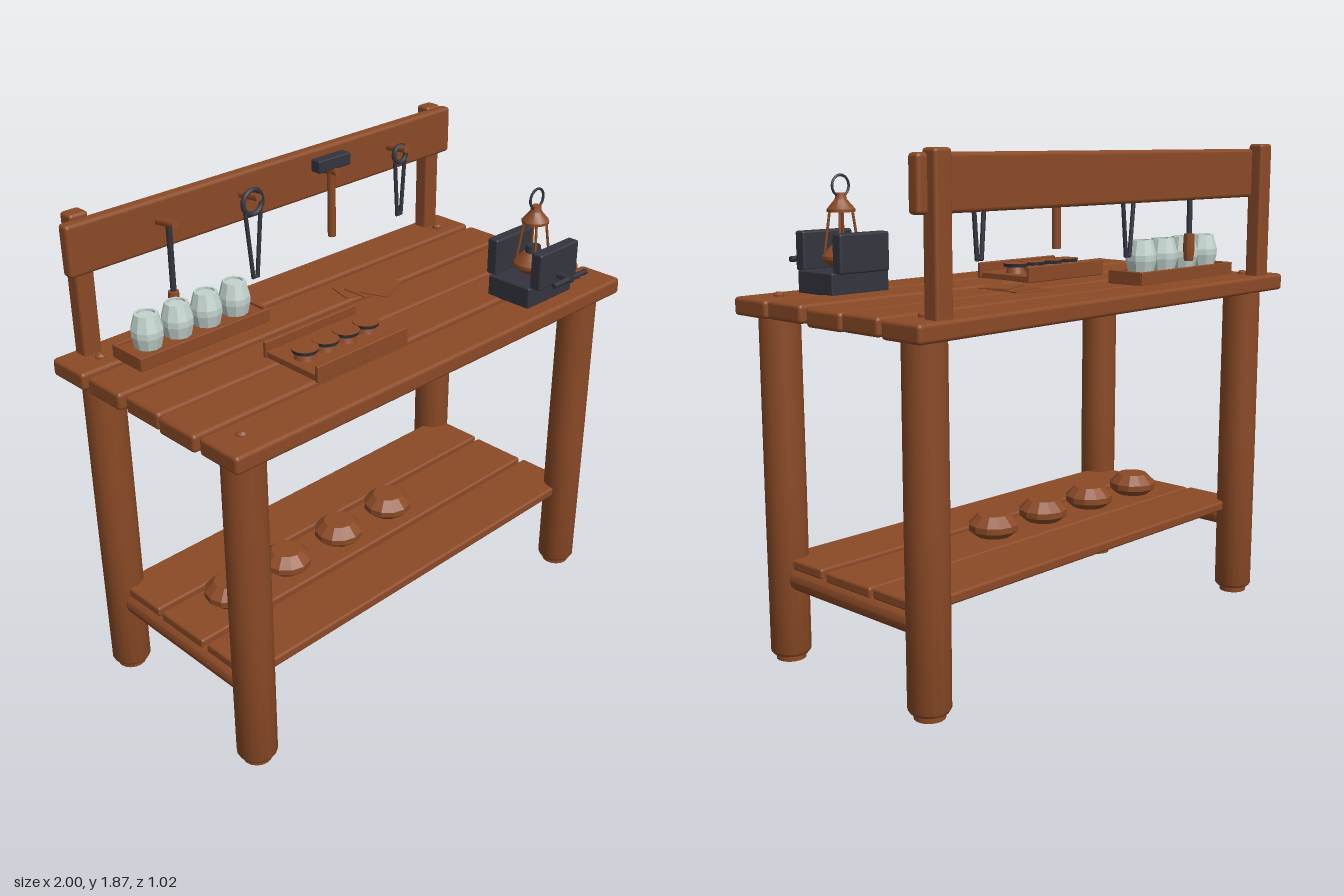
import * as THREE from 'three';
import { toCreasedNormals } from 'three/addons/utils/BufferGeometryUtils.js';
import { RoundedBoxGeometry } from 'three/addons/geometries/RoundedBoxGeometry.js';

export function createModel() {
  const root = new THREE.Group();
  root.name = 'workbench';
  const mat = (name, color) => {
    const m = new THREE.MeshStandardMaterial({ color });
    m.name = name;
    return m;
  };
  const wood = mat('brown wood', 0x8b4a26);
  const iron = mat('dark iron', 0x34343e);
  const glass = mat('pale glass', 0xc3d3ce);

  const add = (name, geo, material, x = 0, y = 0, z = 0, parent = root) => {
    const m = new THREE.Mesh(geo, material);
    m.name = name;
    m.position.set(x, y, z);
    parent.add(m);
    return m;
  };
  const group = (name, x, y, z) => {
    const g = new THREE.Group();
    g.name = name;
    g.position.set(x, y, z);
    root.add(g);
    return g;
  };
  // Bevelled box given by its limits on each axis
  const block = (name, material, [x0, x1], [y0, y1], [z0, z1], bevel = 0.01) =>
    add(name, new RoundedBoxGeometry(x1 - x0, y1 - y0, z1 - z0, 2, bevel), material,
      (x0 + x1) / 2, (y0 + y1) / 2, (z0 + z1) / 2);
  // Turned part from [radius, height] pairs, bottom to top
  const turned = (points, sides, crease = 0.6) => toCreasedNormals(
    new THREE.LatheGeometry(points.map(p => new THREE.Vector2(...p)), sides), crease);
  // Thin rod between two points
  const rod = (name, a, b, r, material, parent = root) => {
    const p = new THREE.Vector3(...a), q = new THREE.Vector3(...b);
    const m = add(name, new THREE.CylinderGeometry(r, r, p.distanceTo(q), 8), material, 0, 0, 0, parent);
    m.position.copy(p).lerp(q, 0.5);
    m.quaternion.setFromUnitVectors(new THREE.Vector3(0, 1, 0), q.sub(p).normalize());
    return m;
  };

  // Worktop planks, each slightly askew
  const planks = [
    [-0.42, 0.18, 1.0, 1.31, 0.003], [-0.22, 0.18, 0.99, 1.308, -0.003], [-0.02, 0.18, 0.98, 1.307, -0.002],
    [0.175, 0.185, 0.99, 1.312, -0.005], [0.378, 0.185, 0.985, 1.312, -0.005],
  ];
  planks.forEach(([z, w, half, y, turn], i) => {
    const p = block('topPlank', wood, [-half, half], [y - 0.033, y + 0.033], [z - w / 2, z + w / 2], 0.014);
    p.rotation.set(0, turn, i % 2 ? 0.002 : -0.002);
  });

  // Log legs with feet, dowel ends, stretchers and back posts
  const legGeo = turned([[0, 0], [0.055, 0], [0.055, 0.022], [0.067, 0.023], [0.075, 0.035],
    [0.076, 0.65], [0.075, 1.27], [0.06, 1.28], [0, 1.28]], 16);
  const dowelGeo = turned([[0.019, 0], [0.019, 0.016], [0.01, 0.024], [0, 0.024]], 8);
  for (const x of [-0.875, 0.872]) {
    for (const z of [-0.395, 0.362]) {
      add('leg', legGeo, wood, x, 0, z);
      add('dowel', dowelGeo, wood, x, 1.335, z);
    }
    const s = add('stretcher', turned([[0, -0.33], [0.036, -0.33], [0.045, -0.31], [0.045, 0.31],
      [0.036, 0.33], [0, 0.33]], 12), wood, x, 0.32, -0.015);
    s.rotation.x = Math.PI / 2;
    block('backPost', wood, [x - 0.037, x + 0.037], [1.3, 1.865], [-0.495, -0.432], 0.012);
  }

  // Lower shelf
  for (const [z, y] of [[-0.265, 0.376], [-0.01, 0.372], [0.252, 0.376]])
    block('shelfPlank', wood, [-0.9, 0.9], [y - 0.02, y + 0.02], [z - 0.12, z + 0.12], 0.01);

  // Backboard
  const board = block('backboard', wood, [-0.952, 0.948], [1.66, 1.848], [-0.455, -0.405], 0.014);
  board.rotation.set(0, 0.005, 0.003);

  // Loaves of clay on the shelf
  const potGeo = turned([[0, 0], [0.068, 0], [0.097, 0.025], [0.097, 0.048], [0.06, 0.085], [0, 0.087]], 12, 0.3);
  for (const x of [-0.665, -0.38, -0.1, 0.18]) add('shelfPot', potGeo, wood, x, 0.394, -0.01);

  // Jar tray with raised rim and four glass jars
  block('jarTray', wood, [-0.83, -0.265], [1.342, 1.382], [-0.36, -0.215], 0.004);
  for (const z of [-0.362, -0.21])
    block('jarTrayRim', wood, [-0.84, -0.255], [1.342, 1.393], [z - 0.007, z + 0.007], 0.003);
  for (const x of [-0.834, -0.261])
    block('jarTrayEnd', wood, [x - 0.007, x + 0.007], [1.342, 1.393], [-0.362, -0.21], 0.003);
  const jarGeo = turned([[0, 0], [0.048, 0], [0.059, 0.045], [0.059, 0.068], [0.043, 0.125],
    [0.034, 0.125], [0.034, 0.117], [0, 0.117]], 10, 0.2);
  for (const x of [-0.745, -0.613, -0.482, -0.35]) add('jar', jarGeo, glass, x, 1.382, -0.287);

  // Open tray with lips and four capped spools
  block('spoolTray', wood, [-0.465, -0.037], [1.343, 1.368], [0.01, 0.28], 0.004);
  block('spoolTrayBackLip', wood, [-0.47, -0.03], [1.343, 1.405], [0.002, 0.018], 0.004);
  block('spoolTrayFrontLip', wood, [-0.47, -0.03], [1.343, 1.405], [0.265, 0.281], 0.004);
  for (const x of [-0.4, -0.302, -0.202, -0.102]) {
    add('spoolStem', new THREE.CylinderGeometry(0.032, 0.04, 0.026, 12), wood, x, 1.381, 0.142);
    add('spoolCap', new THREE.CylinderGeometry(0.05, 0.046, 0.014, 14), [iron, wood, iron], x, 1.4, 0.142);
  }

  // Loose sheets
  for (const [x, y, z, turn] of [[0.165, 1.348, -0.17, -0.25], [0.2, 1.354, -0.14, 0.02], [0.225, 1.36, -0.1, 0.38]])
    add('sheet', new THREE.BoxGeometry(0.16, 0.004, 0.115), wood, x, y, z).rotation.y = turn;

  // Vise
  block('viseBase', iron, [0.493, 0.755], [1.342, 1.424], [0.21, 0.405], 0.006);
  block('viseBackJaw', iron, [0.51, 0.736], [1.42, 1.562], [0.183, 0.23], 0.008);
  block('viseFrontJaw', iron, [0.51, 0.736], [1.42, 1.562], [0.392, 0.44], 0.008);
  rod('viseScrew', [0.622, 1.455, 0.2], [0.622, 1.455, 0.505], 0.014, iron);
  rod('viseHandle', [0.525, 1.455, 0.492], [0.72, 1.455, 0.492], 0.011, iron);

  // Lantern resting in the vise
  const lantern = group('lantern', 0.622, 1.425, 0.315);
  add('lanternBase', turned([[0, 0.01], [0.045, 0.01], [0.074, 0.035], [0.074, 0.048], [0.05, 0.075],
    [0.035, 0.088], [0, 0.088]], 12), wood, 0, 0, 0, lantern);
  add('lanternBurner', new THREE.CylinderGeometry(0.027, 0.032, 0.028, 10), iron, 0, 0.1, 0, lantern);
  for (let i = 0; i < 4; i++) {
    const a = i * Math.PI / 2 + Math.PI / 4, c = Math.cos(a), s = Math.sin(a);
    rod('lanternRod', [c * 0.062, 0.06, s * 0.062], [c * 0.04, 0.215, s * 0.04], 0.005, wood, lantern);
  }
  add('lanternCap', turned([[0, 0.205], [0.052, 0.205], [0.052, 0.215], [0.022, 0.25], [0.018, 0.272], [0, 0.274]], 12),
    wood, 0, 0, 0, lantern);
  add('lanternRing', new THREE.TorusGeometry(0.038, 0.005, 6, 20), iron, 0, 0.298, 0, lantern);

  // Pegs for hanging tools
  const toolZ = -0.342;
  for (const x of [-0.58, -0.2, 0.195, 0.575])
    rod('peg', [x, 1.765, -0.42], [x, 1.778, -0.305], 0.015, wood);

  // Chisel
  rod('chiselBlade', [-0.58, 1.52, toolZ], [-0.58, 1.775, toolZ], 0.011, iron);
  add('chiselHandle', turned([[0, 0], [0.018, 0], [0.023, 0.05], [0.02, 0.105], [0, 0.11]], 10), wood, -0.58, 1.415, toolZ);

  // Two pairs of shears
  for (const [x, r, tip] of [[-0.2, 0.046, 1.455], [0.575, 0.034, 1.495]]) {
    const shears = group('shears', x, 0, toolZ);
    add('shearsRing', new THREE.TorusGeometry(r, 0.01, 6, 18), iron, 0, 1.752, 0, shears);
    for (const side of [-1, 1])
      rod('shearsArm', [side * r * 0.8, 1.72, 0], [side * 0.01, tip, 0], 0.008, iron, shears);
    rod('shearsTip', [-0.015, tip + 0.004, 0], [0.015, tip + 0.004, 0], 0.007, iron, shears);
  }

  // Hammer
  block('hammerHead', iron, [0.113, 0.278], [1.785, 1.834], [toolZ - 0.024, toolZ + 0.024], 0.006);
  rod('hammerHandle', [0.196, 1.51, toolZ], [0.196, 1.79, toolZ], 0.016, wood);

  return root;
}
